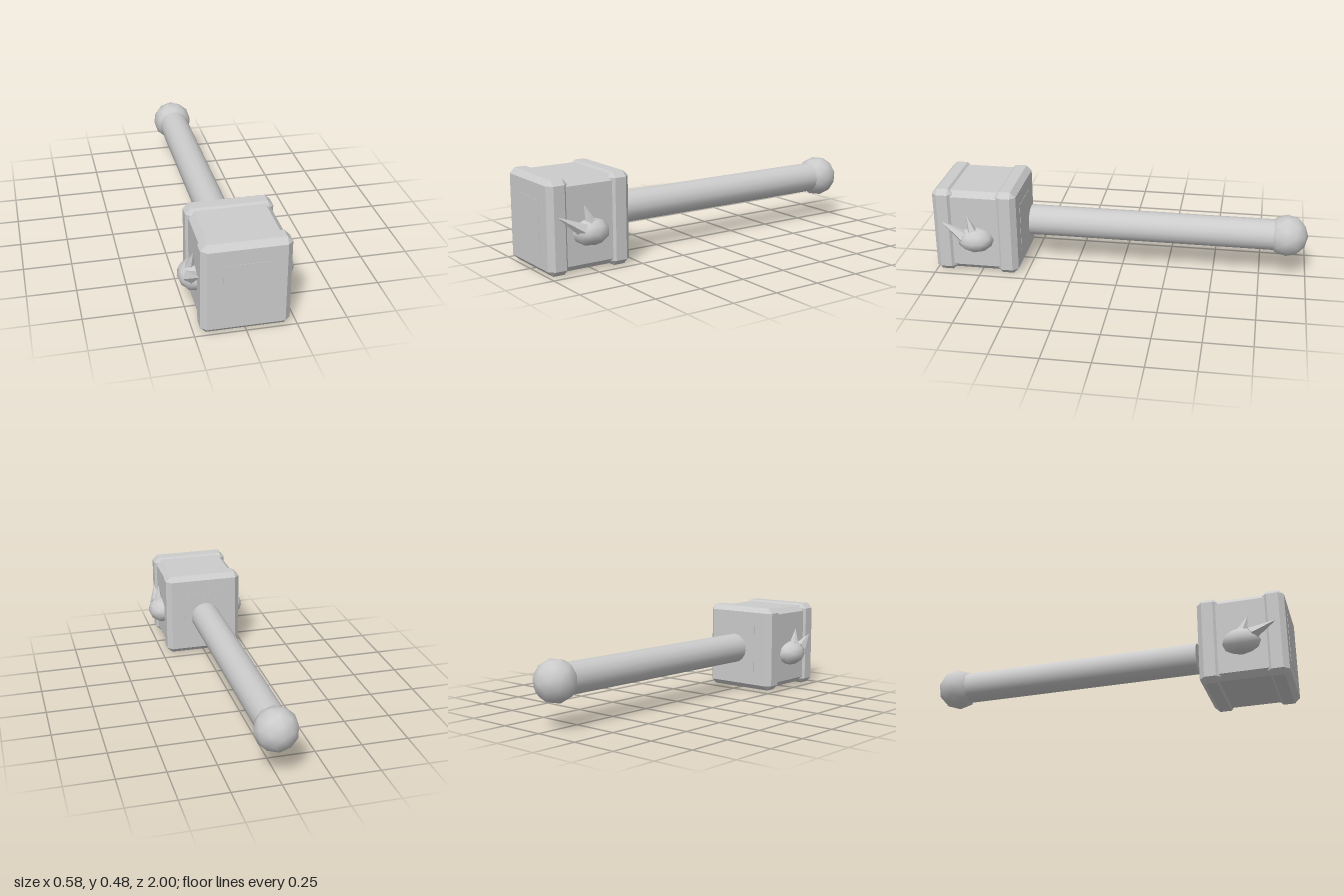
import * as THREE from 'three';
import { ConvexGeometry } from 'three/addons/geometries/ConvexGeometry.js';

const smooth = new THREE.MeshStandardMaterial({ color: 0xcccccc });
const faceted = new THREE.MeshStandardMaterial({ color: 0xcccccc, flatShading: true });
const MID_Y = 0.239;

function addMesh(parent, name, geometry, material, x, y, z) {
  const mesh = new THREE.Mesh(geometry, material);
  mesh.name = name;
  mesh.position.set(x, y, z);
  parent.add(mesh);
  return mesh;
}

// Box given by half sizes, with every edge and corner cut by b
function chamferedBox(w, h, d, b) {
  const points = [];
  for (const x of [-1, 1]) for (const y of [-1, 1]) for (const z of [-1, 1]) {
    points.push(
      new THREE.Vector3(x * w, y * (h - b), z * (d - b)),
      new THREE.Vector3(x * (w - b), y * h, z * (d - b)),
      new THREE.Vector3(x * (w - b), y * (h - b), z * d)
    );
  }
  return new ConvexGeometry(points);
}

// Pointed spike from a base centre to a tip
function addSpike(parent, name, base, tip, radius) {
  const from = new THREE.Vector3(...base);
  const dir = new THREE.Vector3(...tip).sub(from);
  const geometry = new THREE.ConeGeometry(radius, dir.length(), 5);
  geometry.translate(0, dir.length() / 2, 0);
  const spike = addMesh(parent, name, geometry, faceted, ...base);
  spike.quaternion.setFromUnitVectors(new THREE.Vector3(0, 1, 0), dir.normalize());
}

export function createModel() {
  const model = new THREE.Group();
  model.name = 'hammer';

  // Head: a block between two wider end plates
  const head = new THREE.Group();
  head.name = 'head';
  model.add(head);
  addMesh(head, 'headBlock', chamferedBox(0.207, 0.229, 0.19, 0.03), faceted, 0, MID_Y, 0.77);
  const plate = chamferedBox(0.219, 0.239, 0.058, 0.028);
  addMesh(head, 'frontPlate', plate, faceted, 0, MID_Y, 0.942);
  addMesh(head, 'backPlate', plate, faceted, 0, MID_Y, 0.602);

  // Thin panels on the two striking faces
  const panel = new THREE.BoxGeometry(0.227, 0.267, 0.004);
  addMesh(head, 'frontPanel', panel, smooth, 0, MID_Y, 0.9995);
  addMesh(head, 'backPanel', panel, smooth, 0, MID_Y, 0.5445);

  // Side ornaments: an oval boss with two spikes leaning against the head
  for (const side of [1, -1]) {
    const ornament = new THREE.Group();
    ornament.name = side > 0 ? 'leftOrnament' : 'rightOrnament';
    head.add(ornament);
    const boss = addMesh(ornament, 'boss', new THREE.IcosahedronGeometry(1, 1), smooth, side * 0.205, 0.2, 0.77);
    boss.scale.set(0.084, 0.071, 0.1);
    addSpike(ornament, 'longSpike', [side * 0.235, 0.222, 0.825], [side * 0.215, 0.3, 0.958], 0.037);
    addSpike(ornament, 'shortSpike', [side * 0.23, 0.235, 0.775], [side * 0.217, 0.342, 0.81], 0.033);
  }

  // Handle, ending just short of the head
  const handle = new THREE.CylinderGeometry(0.083, 0.083, 1.37, 16);
  handle.rotateX(Math.PI / 2);
  addMesh(model, 'handle', handle, smooth, 0, MID_Y + 0.001, 0.505 - 1.37 / 2);

  // Ball pommel
  addMesh(model, 'pommel', new THREE.IcosahedronGeometry(0.112, 1).rotateX(0.5536), smooth, 0, MID_Y + 0.001, -0.888);

  return model;
}
